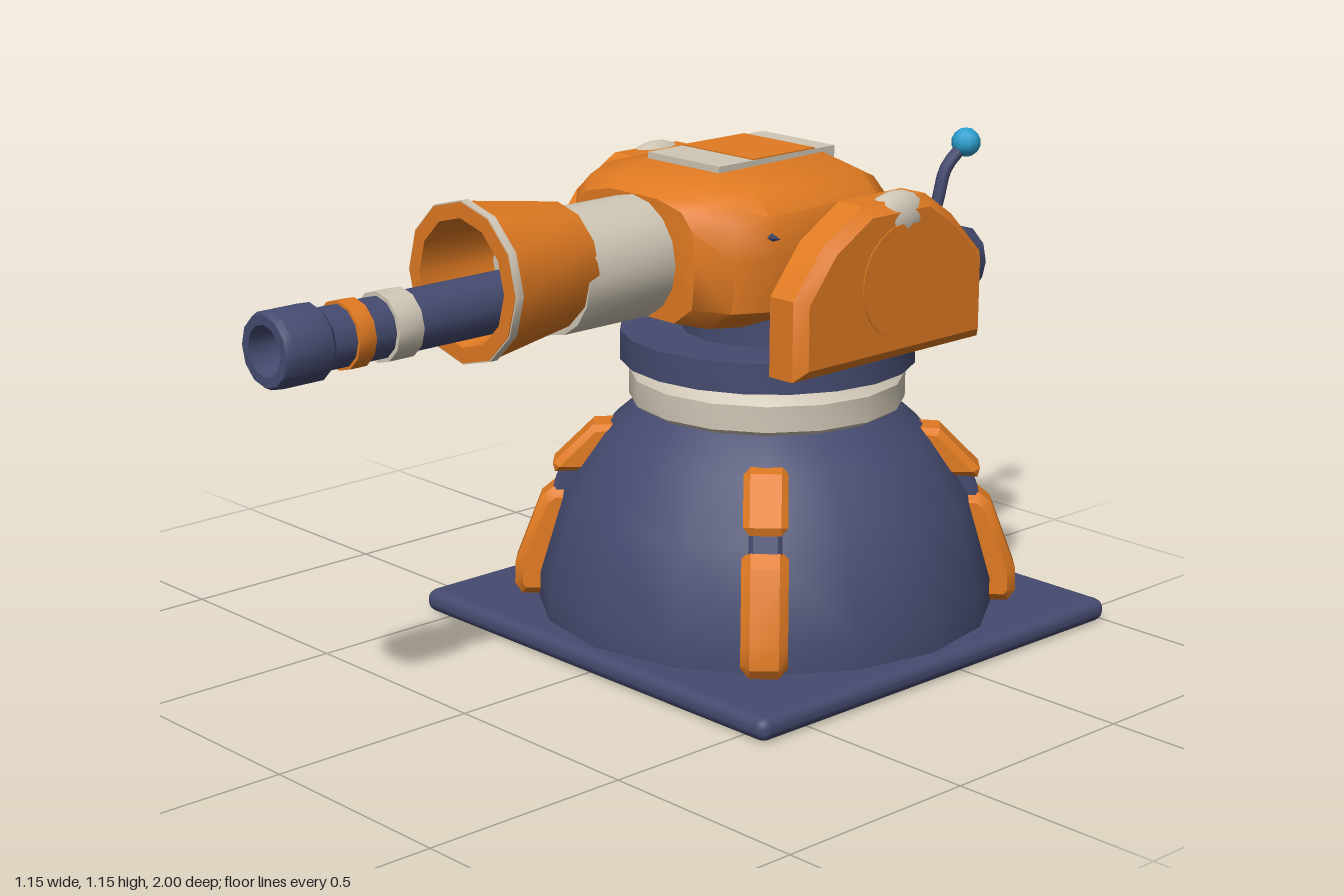
import * as THREE from 'three';
import { toCreasedNormals } from 'three/addons/utils/BufferGeometryUtils.js';
import { RoundedBoxGeometry } from 'three/addons/geometries/RoundedBoxGeometry.js';

const mat = (name, color) => {
  const m = new THREE.MeshStandardMaterial({ color });
  m.name = name;
  return m;
};

// Lathe around y from [radius, height] pairs
function lathe(points, sides, crease = 0.6) {
  const g = new THREE.LatheGeometry(points.map(p => new THREE.Vector2(p[0], p[1])), sides);
  return toCreasedNormals(g, crease);
}

// Bevelled slab: outline in x-y, thickness centred on z
function slab(points, width, bevel) {
  const shape = new THREE.Shape(points.map(p => new THREE.Vector2(p[0], p[1])));
  const depth = width - 2 * bevel;
  const g = new THREE.ExtrudeGeometry(shape, {
    depth, bevelEnabled: true, bevelSize: bevel, bevelOffset: -bevel, bevelThickness: bevel, bevelSegments: 1,
  });
  return toCreasedNormals(g.translate(0, 0, -depth / 2), 0.5);
}

// Closed hull along z: half outline in unit coordinates, sections of [z, halfWidth, yLow, yHigh]
function loft(half, sections, crease) {
  const outline = [...half, ...half.map(([u, v]) => [-u, v]).reverse()];
  const n = outline.length, pos = [], idx = [];
  for (const [z, hw, lo, hi] of sections) {
    for (const [u, v] of outline) pos.push(u * hw, (lo + hi) / 2 + v * (hi - lo) / 2, z);
  }
  for (let s = 0; s < sections.length - 1; s++) {
    for (let i = 0; i < n; i++) {
      const a = s * n + i, b = s * n + (i + 1) % n;
      idx.push(a, a + n, b, b, a + n, b + n);
    }
  }
  const last = (sections.length - 1) * n;
  for (let i = 1; i < n - 1; i++) {
    idx.push(0, i, i + 1);
    idx.push(last, last + i + 1, last + i);
  }
  const g = new THREE.BufferGeometry();
  g.setAttribute('position', new THREE.Float32BufferAttribute(pos, 3));
  g.setIndex(idx);
  return toCreasedNormals(g, crease);
}

export function createModel() {
  const model = new THREE.Group();
  model.name = 'turret';
  const navy = mat('navy', 0x454b70);
  const orange = mat('orange', 0xe07a22);
  const cream = mat('cream', 0xcfc6b5);
  const blue = mat('blue', 0x2a9fd0);
  const CZ = -0.425; // turning axis

  const add = (name, geometry, material, x = 0, y = 0, z = 0, parent = model) => {
    const m = new THREE.Mesh(geometry, material);
    m.name = name;
    m.position.set(x, y, z);
    parent.add(m);
    return m;
  };

  // Base plate, dome and collars
  add('basePlate', new RoundedBoxGeometry(1.15, 0.055, 1.15, 2, 0.025), navy, 0, 0.0275, CZ);
  add('dome', lathe([[0.54, 0.05], [0.54, 0.12], [0.48, 0.325], [0.385, 0.465], [0.30, 0.54], [0, 0.54]], 16, 0.7), navy, 0, 0, CZ);
  add('collar', lathe([[0, 0.535], [0.3, 0.535], [0.322, 0.55], [0.322, 0.61], [0.3, 0.632], [0, 0.632]], 16), cream, 0, 0, CZ);
  add('turnRing', lathe([[0, 0.645], [0.345, 0.645], [0.345, 0.715], [0, 0.715]], 20), navy, 0, 0, CZ);
  add('neck', new THREE.CylinderGeometry(0.2, 0.2, 0.14, 16), navy, 0, 0.78, CZ);

  // Four ribs on the dome diagonals
  const lowerRib = slab([[0.44, 0.06], [0.575, 0.06], [0.592, 0.085], [0.59, 0.14], [0.53, 0.3], [0.5, 0.325], [0.4, 0.325]], 0.105, 0.02);
  const upperRib = slab([[0.4, 0.365], [0.495, 0.365], [0.5, 0.385], [0.405, 0.48], [0.3, 0.485]], 0.1, 0.015);
  const link = slab([[0.4, 0.28], [0.515, 0.28], [0.47, 0.41], [0.38, 0.41]], 0.075, 0.01);
  for (let k = 0; k < 4; k++) {
    const rib = new THREE.Group();
    rib.name = 'rib';
    rib.position.z = CZ;
    rib.rotation.y = Math.PI / 4 + k * Math.PI / 2;
    model.add(rib);
    add('lowerRib', lowerRib, orange, 0, 0, 0, rib);
    add('upperRib', upperRib, orange, 0, 0, 0, rib);
    add('ribLink', link, navy, 0, 0, 0, rib);
  }

  // Rounded body with a top hatch
  add('body', loft(
    [[0.38, 1], [0.78, 0.86], [0.95, 0.58], [1, 0.05], [0.95, -0.7], [0.67, -1]],
    [[-0.6, 0.2, 0.86, 1.05], [-0.56, 0.255, 0.82, 1.1], [-0.48, 0.295, 0.805, 1.135],
      [-0.14, 0.302, 0.8, 1.13], [-0.06, 0.265, 0.805, 1.115], [0, 0.2, 0.82, 1.09]], 0.75), orange);
  add('hatch', new THREE.BoxGeometry(0.23, 0.03, 0.365), cream, 0, 1.13, -0.335);
  add('hatchPanel', new THREE.BoxGeometry(0.228, 0.006, 0.195), orange, 0, 1.145, -0.357);

  // Cream sleeve, flared shroud and thin gun barrel, all along z
  const along = (name, points, sides, material, y) =>
    add(name, lathe(points, sides, 0.55).rotateX(Math.PI / 2), material, 0, y, 0);
  along('sleeve', [[0, -0.02], [0.138, -0.02], [0.138, 0.25], [0, 0.25]], 16, cream, 0.95);
  along('shroud', [[0, 0.22], [0.136, 0.22], [0.172, 0.455], [0.175, 0.49], [0.14, 0.49], [0.115, 0.3]], 12, orange, 0.968);
  along('shroudRim', [[0.174, 0.468], [0.178, 0.468], [0.178, 0.488], [0.174, 0.488]], 12, cream, 0.968);
  along('shroudFloor', [[0.118, 0.305], [0, 0.305]], 12, cream, 0.968);
  along('barrel', [[0, 0.25], [0.067, 0.25], [0.067, 0.87], [0.083, 0.885], [0.083, 0.985], [0.076, 1], [0.055, 1], [0.045, 0.9], [0, 0.9]], 12, navy, 0.912);
  along('creamBand', [[0.06, 0.65], [0.076, 0.65], [0.076, 0.715], [0.06, 0.715]], 12, cream, 0.912);
  along('orangeBand', [[0.06, 0.772], [0.074, 0.772], [0.074, 0.815], [0.06, 0.815]], 12, orange, 0.912);

  // Shoulder plates on both sides
  const shoulder = slab([[-0.1, 0.72], [-0.1, 0.9], [-0.19, 1.01], [-0.31, 1.08], [-0.51, 1.08], [-0.6, 1.02],
    [-0.7, 0.92], [-0.7, 0.72]], 0.12, 0.025).rotateY(-Math.PI / 2);
  for (const side of [-1, 1]) {
    add('shoulderPlate', shoulder, orange, side * 0.365, 0, 0);
    const axle = add('shoulderAxle', new THREE.CylinderGeometry(0.13, 0.13, 0.147, 20), orange, side * 0.354, 0.9, -0.42);
    axle.rotation.z = Math.PI / 2;
    const cap = add('shoulderCap', new THREE.SphereGeometry(1, 14, 10), cream, side * 0.386, 1.035, -0.43);
    cap.scale.set(0.044, 0.06, 0.092);
    const stud = add('sideStud', new THREE.ConeGeometry(0.018, 0.05, 4), navy, side * 0.295, 1.018, -0.14);
    stud.rotation.z = -side * Math.PI / 2;
  }

  // Rear pod and aerial
  add('rearPod', loft([[0.76, 1], [0.95, 0.55], [1, -0.05], [0.95, -0.6], [0.85, -1]],
    [[-0.975, 0.185, 0.745, 0.885], [-0.84, 0.23, 0.72, 0.915], [-0.68, 0.225, 0.725, 0.89]], 0.6), navy);
  const path = new THREE.CatmullRomCurve3([[0.105, 0.89, -0.86], [0.115, 0.97, -0.877], [0.122, 1.04, -0.893], [0.135, 1.09, -0.935]]
    .map(p => new THREE.Vector3(...p)));
  add('aerial', new THREE.TubeGeometry(path, 10, 0.015, 8), navy);
  add('aerialTip', new THREE.SphereGeometry(0.035, 10, 7), blue, 0.137, 1.098, -0.945);

  return model;
}
